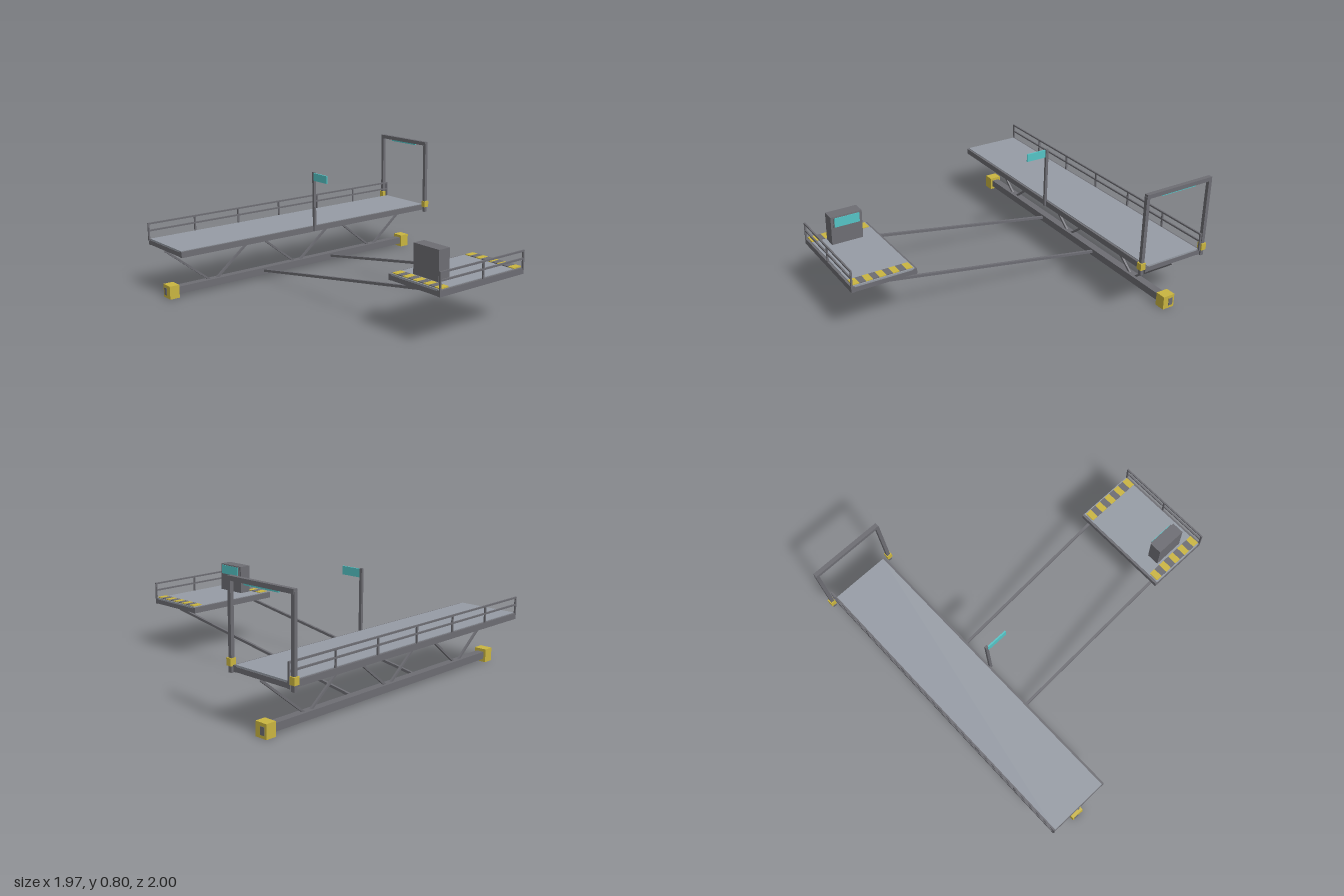
import * as THREE from 'three';

const mat = (name, color) => {
  const m = new THREE.MeshStandardMaterial({ color });
  m.name = name;
  return m;
};

export function createModel() {
  const steel = mat('steel grey', 0x6d6d73);
  const plate = mat('deck grey', 0x969ca5);
  const yellow = mat('safety yellow', 0xcab540);
  const teal = mat('teal', 0x55c4c6);

  const model = new THREE.Group();
  model.name = 'dockingGantry';
  const group = (name) => {
    const g = new THREE.Group();
    g.name = name;
    model.add(g);
    return g;
  };

  // Box given by its extents on each axis
  const box = (parent, name, material, [x0, x1], [y0, y1], [z0, z1]) => {
    const m = new THREE.Mesh(new THREE.BoxGeometry(x1 - x0, y1 - y0, z1 - z0), material);
    m.name = name;
    m.position.set((x0 + x1) / 2, (y0 + y1) / 2, (z0 + z1) / 2);
    parent.add(m);
    return m;
  };

  // Square bar between two points
  const bar = (parent, name, a, b, size) => {
    const p = new THREE.Vector3(...a), q = new THREE.Vector3(...b);
    const m = new THREE.Mesh(new THREE.BoxGeometry(size, size, p.distanceTo(q)), steel);
    m.name = name;
    m.position.copy(p).add(q).multiplyScalar(0.5);
    m.lookAt(q);
    parent.add(m);
  };

  // Framed platform: side rails, cross members and a top plate
  const platform = (name, x0, x1, half, bays) => {
    const g = group(name);
    box(g, 'sideRail', steel, [x0, x0 + 0.022], [0.305, 0.341], [-half, half]);
    box(g, 'sideRail', steel, [x1 - 0.022, x1], [0.305, 0.341], [-half, half]);
    for (let i = 0; i <= bays; i++) {
      const z = -half + 0.01 + (2 * half - 0.02) * i / bays;
      box(g, 'crossMember', steel, [x0 + 0.022, x1 - 0.022], [0.307, 0.335], [z - 0.01, z + 0.01]);
    }
    box(g, 'deckPlate', plate, [x0 + 0.014, x1 - 0.014], [0.333, 0.345], [-half + 0.003, half - 0.003]);
    return g;
  };

  // Handrail along z with evenly spaced posts
  const handrail = (parent, x, half, bays) => {
    const t = 0.005;
    for (const y of [0.44, 0.395])
      box(parent, 'handrail', steel, [x - t, x + t], [y - t, y + t], [-half, half]);
    for (let i = 0; i <= bays; i++) {
      const z = -half + t + (2 * half - 2 * t) * i / bays;
      box(parent, 'railPost', steel, [x - t, x + t], [0.33, 0.44], [z - t, z + t]);
    }
  };

  // Long walkway and side platform
  const walkway = platform('walkway', -0.95, -0.54, 0.99, 6);
  handrail(walkway, -0.944, 0.995, 6);
  const side = platform('sidePlatform', 0.575, 0.983, 0.33, 3);
  handrail(side, 0.979, 0.33, 2);

  // Hazard stripes at both ends of the side platform
  for (const z of [-0.287, 0.287]) {
    for (let i = 0; i < 9; i++) {
      const x = 0.597 + i * 0.0415;
      box(side, 'hazardStripe', i % 2 ? steel : yellow, [x, x + 0.0415], [0.343, 0.35], [z - 0.032, z + 0.032]);
    }
  }

  // Control console with its screen at the back
  const console_ = group('controlConsole');
  box(console_, 'cabinet', steel, [0.68, 0.88], [0.345, 0.525], [0.16, 0.24]);
  box(console_, 'screenHousing', steel, [0.695, 0.865], [0.457, 0.522], [0.154, 0.16]);
  box(console_, 'screen', teal, [0.70, 0.86], [0.46, 0.519], [0.15, 0.154]);

  // Lower chord with end blocks
  const chord = group('lowerChord');
  box(chord, 'chordBeam', steel, [-0.77, -0.72], [0.022, 0.068], [-0.94, 0.94]);
  for (const s of [-1, 1]) {
    box(chord, 'endBlock', yellow, [-0.785, -0.705], [0.002, 0.086], [s * 0.96 - 0.033, s * 0.96 + 0.033]);
    box(chord, 'endSocket', steel, [-0.772, -0.743], [0.02, 0.066], [s * 0.993 - 0.003, s * 0.993 + 0.003]);
  }

  // Zigzag truss braces
  for (const z of [-0.66, 0, 0.66])
    for (const s of [-1, 1])
      bar(chord, 'trussBrace', [-0.745, 0.05, z + s * 0.01], [-0.745, 0.305, z + s * 0.33], 0.013);

  // Tie bars to the side platform
  const ties = group('tieBars');
  for (const z of [-0.28, 0.28]) {
    bar(ties, 'tieBar', [-0.745, 0.045, z], [0.78, 0.295, z], 0.016);
  }

  // Portal at the back end
  const portal = group('portal');
  for (const s of [-1, 1]) {
    const x = -0.743 + s * 0.227;
    box(portal, 'portalPost', steel, [x - 0.011, x + 0.011], [0.295, 0.79], [-0.991, -0.969]);
    box(portal, 'postClamp', yellow, [x - 0.017 + s * 0.002, x + 0.017 + s * 0.002], [0.332, 0.374], [-0.999, -0.963]);
  }
  box(portal, 'portalBeam', steel, [-0.978, -0.508], [0.778, 0.803], [-0.993, -0.967]);
  box(portal, 'lightStrip', teal, [-0.867, -0.62], [0.768, 0.778], [-0.985, -0.975]);

  // Sign pole beside the walkway
  const sign = group('signPole');
  box(sign, 'pole', steel, [-0.544, -0.526], [0.31, 0.705], [-0.008, 0.008]);
  box(sign, 'signPlate', teal, [-0.53, -0.39], [0.65, 0.7], [-0.0045, 0.0045].map((v) => v + 0.004));

  return model;
}
